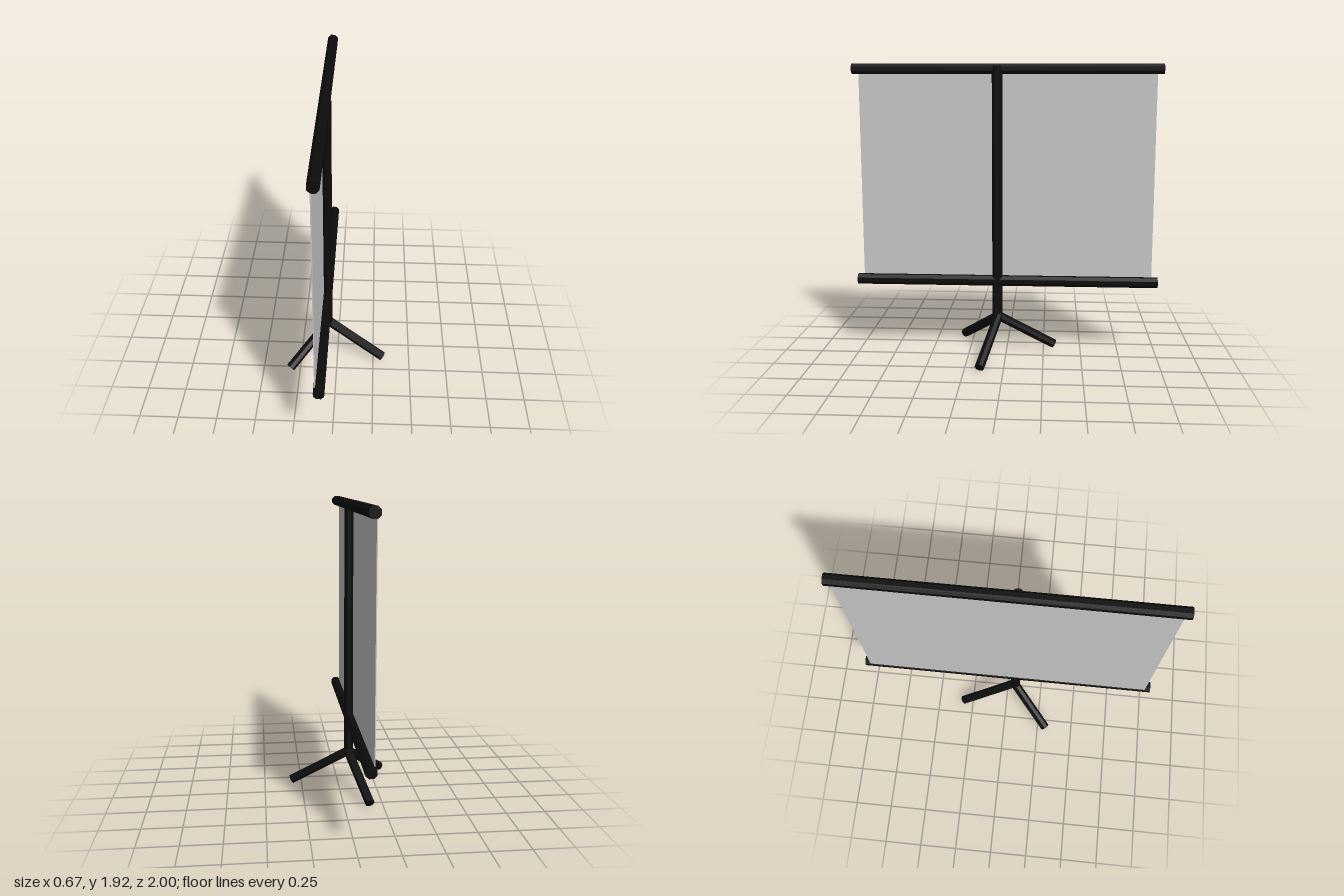
import * as THREE from 'three';

const black = new THREE.MeshStandardMaterial({ color: 0x0c0c0c, flatShading: true });
const grey = new THREE.MeshStandardMaterial({ color: 0xcccccc, side: THREE.DoubleSide });

// Eight-sided rod between two points; r is the distance to its flat sides
function rod(name, from, to, r) {
  const a = new THREE.Vector3(...from);
  const b = new THREE.Vector3(...to);
  const dir = b.clone().sub(a);
  const geometry = new THREE.CylinderGeometry(r / Math.cos(Math.PI / 8), r / Math.cos(Math.PI / 8), dir.length(), 8);
  geometry.rotateY(Math.PI / 8);
  const mesh = new THREE.Mesh(geometry, black);
  mesh.name = name;
  mesh.position.copy(a).add(b).multiplyScalar(0.5);
  mesh.quaternion.setFromUnitVectors(new THREE.Vector3(0, 1, 0), dir.normalize());
  return mesh;
}

export function createModel() {
  const group = new THREE.Group();
  group.name = 'projectionScreen';

  // Upright pole
  const pole = rod('pole', [-0.066, 0.24, 0.06], [-0.066, 1.912, 0.06], 0.033);
  pole.scale.x = 0.85;
  group.add(pole);

  // Rails that hold the screen at top and bottom
  group.add(rod('topRail', [-0.08, 1.892, -1], [-0.08, 1.892, 1], 0.033));
  group.add(rod('bottomRail', [-0.071, 0.497, -1], [-0.071, 0.497, 1], 0.033));

  // Thin screen panel stretched between the rails
  const screen = new THREE.Mesh(new THREE.BoxGeometry(0.006, 1.395, 1.925), grey);
  screen.name = 'screen';
  screen.position.set(-0.096, 1.1945, 0);
  group.add(screen);

  // Tripod legs spread from the foot of the pole
  const feet = [[0.315, 0.03, 0.15], [-0.312, 0.045, 0.305], [-0.162, 0.03, -0.32]];
  feet.forEach((foot, i) => group.add(rod(`leg${i + 1}`, [-0.062, 0.255, 0.053], foot, 0.029)));

  return group;
}
